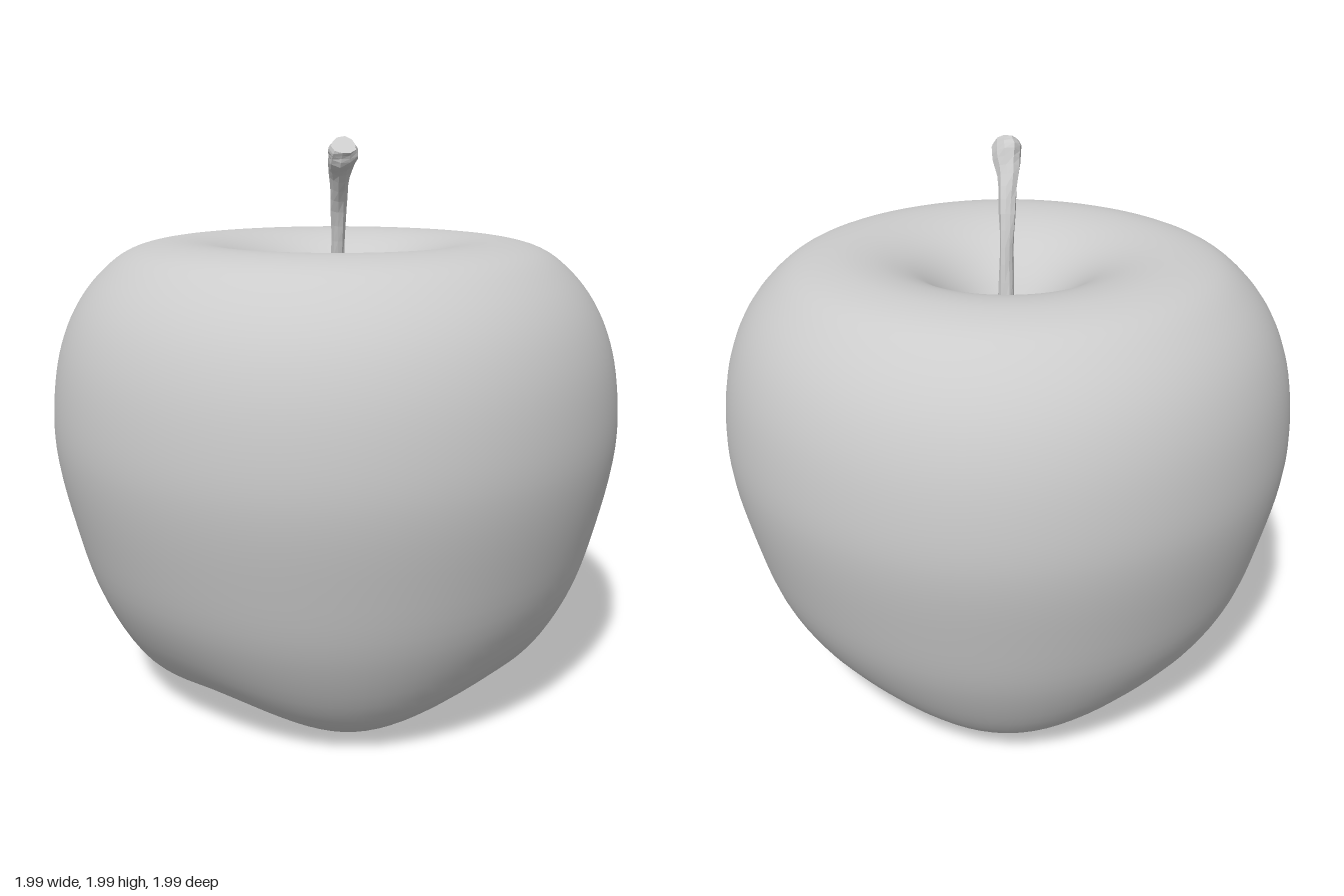
import * as THREE from 'three';
import { mergeVertices } from 'three/addons/utils/BufferGeometryUtils.js';

const material = (flatShading) => new THREE.MeshStandardMaterial({ color: 0xcccccc, flatShading });

// Apple body: a turned profile whose underside swells into four lobes on the diagonals
function createBody() {
  // radius, height, extra drop at the lobes
  const profile = new THREE.CatmullRomCurve3([
    [0, 0.1, 0], [0.04, 0.08, 0], [0.1, 0.05, 0], [0.25, 0.03, 0.012], [0.4, 0.045, 0.043],
    [0.5, 0.068, 0.066], [0.6, 0.11, 0.07], [0.73, 0.21, 0.06], [0.865, 0.42, 0.025],
    [0.945, 0.67, 0], [0.993, 0.92, 0], [0.993, 1.1, 0], [0.965, 1.27, 0], [0.91, 1.41, 0],
    [0.83, 1.52, 0], [0.73, 1.6, 0], [0.6, 1.635, 0], [0.47, 1.63, 0], [0.36, 1.597, 0],
    [0.28, 1.55, 0], [0.2, 1.475, 0], [0.13, 1.38, 0], [0.07, 1.315, 0], [0, 1.29, 0],
  ].map((p) => new THREE.Vector3(...p)), false, 'centripetal').getPoints(110);
  profile.forEach((p) => { p.x = Math.max(p.x, 0); });
  profile[0].x = profile[profile.length - 1].x = 0;

  const segments = 96;
  let geo = new THREE.LatheGeometry(profile.map((p) => new THREE.Vector2(p.x, p.y)), segments);
  const pos = geo.attributes.position;
  for (let i = 0; i < pos.count; i++) {
    const p = profile[i % profile.length];
    const angle = Math.floor(i / profile.length) / segments * Math.PI * 2;
    const lobe = (1 - Math.cos(4 * angle)) / 2;
    // slightly squarish girth, and a stem hollow set a little back and left
    const girth = 1 + 0.012 * lobe * p.x;
    const hollow = p.y > 1 ? Math.max(0, 1 - p.x / 0.6) : 0;
    pos.setXYZ(i,
      Math.sin(angle) * p.x * girth - 0.025 * hollow,
      p.y - p.z * lobe,
      Math.cos(angle) * p.x * girth - 0.035 * hollow);
  }
  // weld the seam for smooth shading
  geo.deleteAttribute('uv');
  geo.deleteAttribute('normal');
  geo = mergeVertices(geo, 1e-5);
  geo.computeVertexNormals();
  const mesh = new THREE.Mesh(geo, material(false));
  mesh.name = 'appleBody';
  return mesh;
}

// Stem: a knobbly faceted rod bent along a curve, flared at both ends
function createStem() {
  const path = new THREE.CatmullRomCurve3([
    [-0.025, 1.26, -0.035], [-0.015, 1.42, -0.025], [0.008, 1.62, 0],
    [0.035, 1.76, 0.03], [0.075, 1.87, 0.075], [0.13, 1.962, 0.122],
  ].map((p) => new THREE.Vector3(...p)));
  const radius = new THREE.CatmullRomCurve3([
    [0, 0.075], [0.12, 0.04], [0.4, 0.025], [0.65, 0.028], [0.84, 0.038], [0.95, 0.053], [1, 0.044],
  ].map(([t, r]) => new THREE.Vector3(t, r, 0)));

  const geo = new THREE.CylinderGeometry(1, 1, 1, 10, 20);
  const pos = geo.attributes.position;
  const up = new THREE.Vector3(0, 1, 0);
  const v = new THREE.Vector3();
  const turn = new THREE.Quaternion();
  for (let i = 0; i < pos.count; i++) {
    const s = pos.getY(i) + 0.5;
    const r = radius.getPoint(s);
    const t = THREE.MathUtils.clamp(r.x, 0, 1);
    const angle = Math.atan2(pos.getX(i), pos.getZ(i));
    const bark = 1 + 0.07 * Math.sin(3 * angle + 9 * s) + 0.05 * Math.sin(2 * angle - 31 * s);
    turn.setFromUnitVectors(up, path.getTangentAt(t));
    v.set(pos.getX(i), 0, pos.getZ(i)).multiplyScalar(r.y * bark).applyQuaternion(turn);
    v.add(path.getPointAt(t));
    pos.setXYZ(i, v.x, v.y, v.z);
  }
  geo.computeVertexNormals();
  const mesh = new THREE.Mesh(geo, material(true));
  mesh.name = 'stem';
  return mesh;
}

export function createModel() {
  const group = new THREE.Group();
  group.name = 'apple';
  group.add(createBody(), createStem());
  return group;
}
